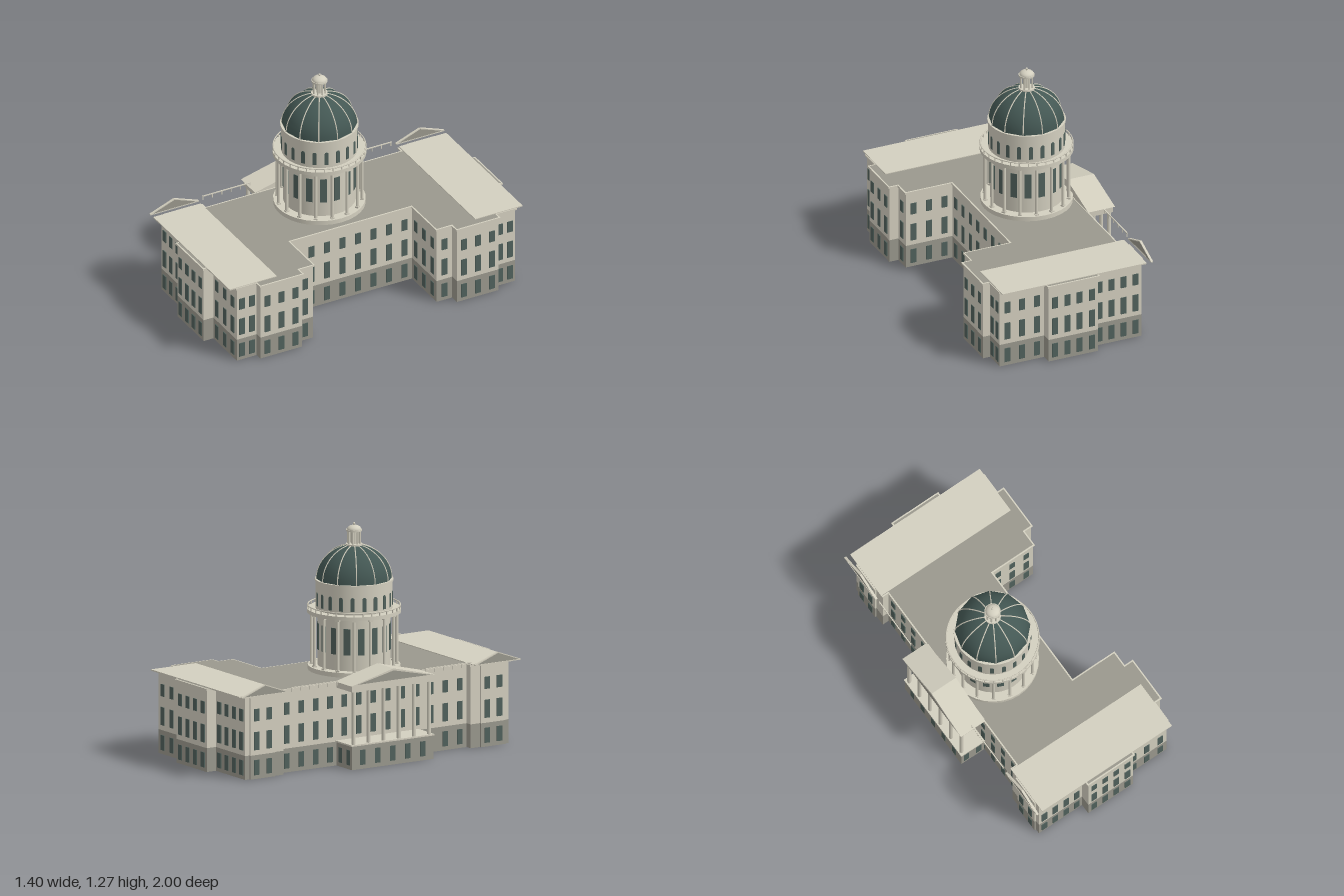
import * as THREE from 'three';

const mat = (name, color, extra = {}) => {
  const m = new THREE.MeshStandardMaterial({ color, ...extra });
  m.name = name;
  return m;
};
const DS = { side: THREE.DoubleSide };

export function createModel() {
  const stone = mat('cream stone', 0xd3cfbf, DS);
  const grey = mat('grey stone', 0x9a988d, DS);
  const glass = mat('window glass', 0x50615c);
  const copper = mat('dome green', 0x445854);

  const model = new THREE.Group();
  const plan = new THREE.Group();
  plan.name = 'building';
  plan.rotation.y = THREE.MathUtils.degToRad(-17.7);
  model.add(plan);

  const add = (parent, name, geo, material, x = 0, y = 0, z = 0) => {
    const m = new THREE.Mesh(geo, material);
    m.name = name;
    m.position.set(x, y, z);
    parent.add(m);
    return m;
  };
  const box = (parent, name, material, w, h, d, x, y, z) =>
    add(parent, name, new THREE.BoxGeometry(w, h, d), material, x, y, z);
  const cyl = (parent, name, material, r, y0, y1, x = 0, z = 0, sides = 32) =>
    add(parent, name, new THREE.CylinderGeometry(r, r, y1 - y0, sides), material, x, (y0 + y1) / 2, z);

  // Main block: half footprint, mirrored to the other wing
  const body = new THREE.Group();
  body.name = 'mainBlock';
  body.position.z = -0.005;
  plan.add(body);
  const half = [
    [0.155, 0.382], [0.432, 0.382], [0.432, 0.478], [0.486, 0.478], [0.486, 0.735],
    [0.444, 0.735], [0.444, 0.858], [0.18, 0.858], [0.18, 0.917], [-0.115, 0.917],
    [-0.115, 0.858], [-0.4, 0.858], [-0.4, 0.83], [-0.41, 0.83], [-0.41, 0.67],
    [-0.4, 0.67], [-0.4, 0.61], [-0.362, 0.61],
  ];
  const outline = [...half, ...half.map(([x, z]) => [x, -z]).reverse()];
  const floors = [[0.022, 0.105], [0.16, 0.26], [0.32, 0.387]];

  outline.forEach(([x0, z0], i) => {
    const [x1, z1] = outline[(i + 1) % outline.length];
    const len = Math.hypot(x1 - x0, z1 - z0);
    const side = new THREE.Group();
    side.name = 'wall';
    side.position.set((x0 + x1) / 2, 0, (z0 + z1) / 2);
    side.rotation.y = Math.atan2(-(z1 - z0), x1 - x0);
    body.add(side);
    add(side, 'baseWall', new THREE.PlaneGeometry(len, 0.132), grey, 0, 0.066, 0);
    add(side, 'upperWall', new THREE.PlaneGeometry(len, 0.33), stone, 0, 0.297, 0);
    box(side, 'cornice', stone, len + 0.016, 0.01, 0.016, 0, 0.457, 0);
    // Windows show on both faces of the wall
    const n = len < 0.08 ? 0 : Math.round(len / (len < 0.3 ? 0.08 : 0.095));
    for (let k = 0; k < n; k++) {
      const x = ((k + 0.5) / n - 0.5) * len;
      for (const [a, b] of floors) box(side, 'window', glass, 0.034, b - a, 0.008, x, (a + b) / 2, 0);
    }
  });

  // Flat roof
  const roofShape = new THREE.Shape(outline.map(([x, z]) => new THREE.Vector2(x, -z)));
  add(body, 'flatRoof', new THREE.ShapeGeometry(roofShape).rotateX(-Math.PI / 2), grey, 0, 0.4625, 0);

  // Triangular prism facing -x
  const gable = (width, height, depth) => {
    const s = new THREE.Shape();
    s.moveTo(-width / 2, 0);
    s.lineTo(width / 2, 0);
    s.lineTo(0, height);
    return new THREE.ExtrudeGeometry(s, { depth, bevelEnabled: false }).rotateY(-Math.PI / 2);
  };

  for (const s of [-1, 1]) {
    // Wing roof and its pediment
    box(body, 'wingRoof', stone, 0.857, 0.007, 0.292, 0.019, 0.463, s * 0.758);
    add(body, 'wingPediment', gable(0.295, 0.055, 0.009), grey, -0.436, 0.466, s * 0.758);
    box(body, 'pedimentSill', stone, 0.013, 0.005, 0.297, -0.441, 0.466, s * 0.758);
    for (const t of [-1, 1]) {
      const rake = box(body, 'pedimentRake', stone, 0.013, 0.005, 0.158, -0.441, 0.494, s * 0.758 + t * 0.074);
      rake.rotation.x = t * Math.atan2(0.055, 0.1475);
    }
    // Roof railing
    box(body, 'railing', stone, 0.006, 0.005, 0.3, -0.442, 0.485, s * 0.435);
    for (let k = 0; k < 6; k++)
      box(body, 'railingPost', stone, 0.005, 0.022, 0.005, -0.442, 0.473, s * (0.29 + k * 0.058));
  }

  // Entrance portico, open underneath
  const portico = new THREE.Group();
  portico.name = 'portico';
  portico.position.z = 0.021;
  plan.add(portico);
  box(portico, 'porticoBaseFront', grey, 0.006, 0.13, 0.53, -0.511, 0.065, 0);
  box(portico, 'porticoFloor', stone, 0.16, 0.008, 0.54, -0.438, 0.134, 0);
  box(portico, 'entablature', stone, 0.155, 0.035, 0.53, -0.437, 0.448, 0);
  add(portico, 'porticoRoof', gable(0.55, 0.068, 0.16), stone, -0.364, 0.466, 0);
  add(portico, 'porticoTympanum', gable(0.47, 0.052, 0.004), grey, -0.522, 0.471, 0);
  for (let k = 0; k < 6; k++) {
    const z = -0.245 + k * 0.098;
    cyl(portico, 'porticoColumn', stone, 0.011, 0.138, 0.431, -0.5, z, 12);
    if (k < 5) box(portico, 'window', glass, 0.009, 0.083, 0.034, -0.511, 0.064, z + 0.049);
  }
  for (const s of [-1, 1]) {
    box(portico, 'porticoBaseSide', grey, 0.152, 0.13, 0.006, -0.437, 0.065, s * 0.262);
    for (const x of [-0.48, -0.4]) box(portico, 'window', glass, 0.034, 0.083, 0.009, x, 0.064, s * 0.262);
  }

  // Dome tower
  const tower = new THREE.Group();
  tower.name = 'domeTower';
  tower.position.set(-0.127, 0, 0.029);
  plan.add(tower);
  const ring = (n, fn, offset = 0) => {
    for (let i = 0; i < n; i++) {
      const spoke = new THREE.Group();
      spoke.name = 'spoke';
      spoke.rotation.y = ((i + offset) / n) * Math.PI * 2;
      tower.add(spoke);
      fn(spoke);
    }
  };
  cyl(tower, 'towerPlinth', stone, 0.251, 0.46, 0.488);
  cyl(tower, 'lowerDrum', stone, 0.198, 0.488, 0.78);
  cyl(tower, 'galleryFloor', stone, 0.255, 0.778, 0.799, 0, 0, 48);
  cyl(tower, 'upperDrum', stone, 0.208, 0.799, 0.955);
  cyl(tower, 'drumCornice', stone, 0.213, 0.952, 0.962);

  // Colonnade with tall windows behind
  ring(16, (g) => box(g, 'drumWindow', glass, 0.036, 0.145, 0.01, 0, 0.648, 0.195));
  ring(16, (g) => {
    cyl(g, 'drumColumn', stone, 0.0085, 0.488, 0.778, 0, 0.231, 10);
    box(g, 'columnCapital', stone, 0.022, 0.01, 0.022, 0, 0.772, 0.231);
    box(g, 'columnFoot', stone, 0.02, 0.009, 0.02, 0, 0.492, 0.231);
  }, 0.5);

  // Gallery railing
  const rail = new THREE.TorusGeometry(0.251, 0.0035, 6, 48).rotateX(Math.PI / 2);
  add(tower, 'galleryRail', rail, stone, 0, 0.818, 0);
  ring(32, (g) => box(g, 'galleryPost', stone, 0.006, 0.02, 0.006, 0, 0.808, 0.251));

  // Arched windows of the upper drum
  const arch = new THREE.Shape();
  arch.moveTo(-0.011, 0.818);
  arch.lineTo(0.011, 0.818);
  arch.lineTo(0.011, 0.884);
  arch.absarc(0, 0.884, 0.011, 0, Math.PI);
  const archGeo = new THREE.ExtrudeGeometry(arch, { depth: 0.006, bevelEnabled: false, curveSegments: 6 });
  ring(20, (g) => add(g, 'archedWindow', archGeo, glass, 0, 0, 0.2035));

  // Dome with ribs
  const profile = [];
  for (let i = 0; i <= 10; i++) {
    const a = (i / 10) * 1.37;
    profile.push(new THREE.Vector2(0.205 * Math.cos(a), 0.96 + 0.19 * Math.sin(a)));
  }
  add(tower, 'dome', new THREE.LatheGeometry(profile, 12), copper);
  const ribPath = new THREE.CatmullRomCurve3(profile.map((p) => new THREE.Vector3(0, p.y, p.x)));
  const ribGeo = new THREE.TubeGeometry(ribPath, 16, 0.0034, 5);
  ring(12, (g) => add(g, 'domeRib', ribGeo, stone));

  // Lantern
  cyl(tower, 'lanternBase', stone, 0.045, 1.145, 1.154, 0, 0, 20);
  cyl(tower, 'lanternCore', stone, 0.016, 1.154, 1.226, 0, 0, 12);
  ring(8, (g) => cyl(g, 'lanternColumn', stone, 0.005, 1.154, 1.226, 0, 0.033, 8));
  cyl(tower, 'lanternCornice', stone, 0.044, 1.224, 1.233, 0, 0, 20);
  const cap = new THREE.SphereGeometry(0.04, 20, 8, 0, Math.PI * 2, 0, Math.PI / 2).scale(1, 0.62, 1);
  add(tower, 'lanternCap', cap, stone, 0, 1.232, 0);
  cyl(tower, 'finial', stone, 0.003, 1.25, 1.264, 0, 0, 8);
  add(tower, 'finialBall', new THREE.SphereGeometry(0.007, 10, 8), stone, 0, 1.265, 0);

  return model;
}
